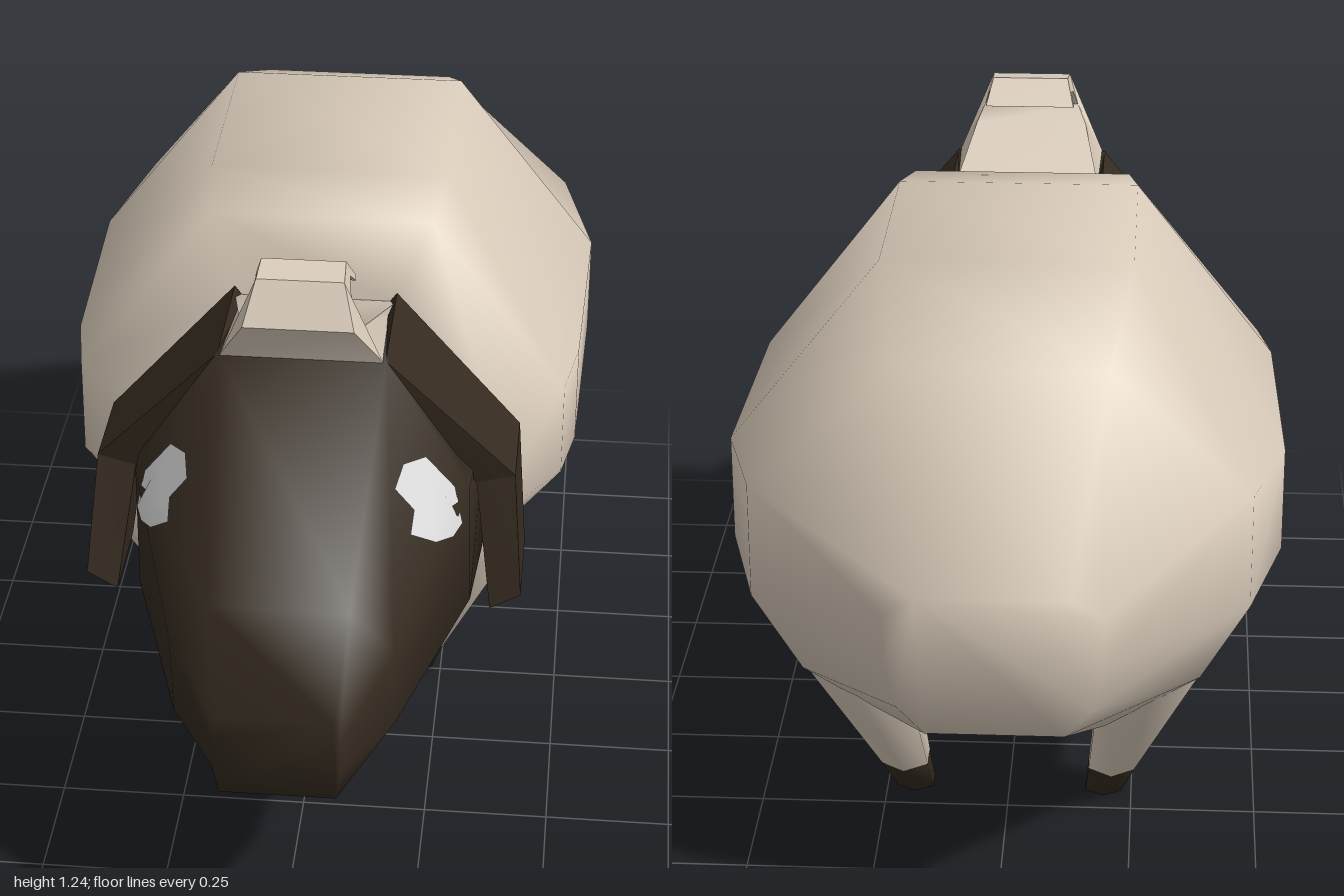
import * as THREE from 'three';
import { toCreasedNormals } from 'three/addons/utils/BufferGeometryUtils.js';

// Skin a list of closed rings (clockwise seen from the end), with fan caps
function loft(rings) {
  const n = rings[0].length, pos = rings.flat(2), idx = [];
  for (let r = 0; r < rings.length - 1; r++) {
    for (let i = 0; i < n; i++) {
      const j = (i + 1) % n;
      const a = r * n + i, b = r * n + j, c = a + n, d = b + n;
      idx.push(a, c, d, a, d, b);
    }
  }
  const last = (rings.length - 1) * n;
  for (let i = 1; i < n - 1; i++) {
    idx.push(0, i, i + 1, last, last + i + 1, last + i);
  }
  const g = new THREE.BufferGeometry();
  g.setAttribute('position', new THREE.Float32BufferAttribute(pos, 3));
  g.setIndex(idx);
  g.computeVertexNormals();
  return g;
}

// Full ring from its +x half, listed top to bottom
const mirrorRing = (half) => [...half, ...half.map(([x, y, z]) => [-x, y, z]).reverse()];

// Horizontal six-sided ring
function hexRing(cx, y, cz, rx, rz) {
  return Array.from({ length: 6 }, (_, i) => {
    const t = (i / 6) * Math.PI * 2 + Math.PI / 6;
    return [cx + (rx * Math.cos(t)) / 0.9, y, cz + rz * Math.sin(t)];
  });
}

export function createModel() {
  const model = new THREE.Group();
  const material = (name, color, side = THREE.FrontSide) => {
    const m = new THREE.MeshStandardMaterial({ color, side });
    m.name = name;
    return m;
  };
  const wool = material('cream wool', 0xd9cbba);
  const dark = material('dark brown', 0x352b20);
  const white = material('eye white', 0xdcdcdc, THREE.DoubleSide);
  const add = (name, geometry, mat) => {
    const mesh = new THREE.Mesh(geometry, mat);
    mesh.name = name;
    model.add(mesh);
    return mesh;
  };

  // Woolly body, back to front
  add('body', loft([
    [[0.14, 0.73, -1], [0.2, 0.69, -0.985], [0.2, 0.58, -0.97], [0.18, 0.48, -0.95], [0.13, 0.42, -0.94]],
    [[0.2, 1.08, -0.75], [0.47, 0.83, -0.75], [0.47, 0.6, -0.75], [0.38, 0.43, -0.72], [0.2, 0.29, -0.67]],
    [[0.24, 1.185, -0.5], [0.535, 0.81, -0.5], [0.535, 0.6, -0.5], [0.4, 0.46, -0.5], [0.19, 0.295, -0.48]],
    [[0.24, 1.18, -0.05], [0.52, 0.81, -0.02], [0.52, 0.6, -0.02], [0.4, 0.46, -0.02], [0.18, 0.3, -0.02]],
    [[0.22, 1.15, 0.1], [0.495, 0.8, 0.12], [0.495, 0.6, 0.12], [0.38, 0.46, 0.12], [0.17, 0.33, 0.12]],
    [[0.16, 1.035, 0.23], [0.35, 0.79, 0.23], [0.345, 0.53, 0.23], [0.27, 0.44, 0.23], [0.14, 0.4, 0.24]],
  ].map(mirrorRing)), wool);

  // Head, neck to muzzle
  const head = add('head', loft([
    [[0.16, 1.03, 0.23], [0.34, 0.79, 0.23], [0.345, 0.5, 0.235], [0.15, 0.4, 0.27]],
    [[0.16, 1.06, 0.5], [0.325, 0.79, 0.5], [0.33, 0.51, 0.47], [0.15, 0.38, 0.44]],
    [[0.13, 0.77, 0.92], [0.21, 0.65, 0.87], [0.21, 0.47, 0.84], [0.12, 0.28, 0.74]],
    [[0.11, 0.575, 1], [0.12, 0.52, 0.99], [0.12, 0.45, 0.98], [0.11, 0.38, 0.965]],
  ].map(mirrorRing)), dark);

  // Forelock curling backwards, narrowing towards its top
  const curl = new THREE.Shape([
    [0.2, 1.0], [0.5, 1.03], [0.505, 1.06], [0.56, 1.15], [0.515, 1.23], [0.45, 1.24],
    [0.405, 1.19], [0.42, 1.185], [0.45, 1.21], [0.485, 1.2], [0.505, 1.165], [0.485, 1.125], [0.23, 1.04],
  ].map(([z, y]) => new THREE.Vector2(z, y)));
  const lock = new THREE.ExtrudeGeometry(curl, { depth: 2, bevelEnabled: false });
  lock.translate(0, 0, -1).rotateY(-Math.PI / 2);
  const p = lock.attributes.position;
  for (let i = 0; i < p.count; i++) {
    const y = p.getY(i);
    const w = y < 1.15 ? THREE.MathUtils.mapLinear(Math.max(y, 1.05), 1.05, 1.15, 0.16, 0.105)
      : THREE.MathUtils.mapLinear(y, 1.15, 1.24, 0.105, 0.08);
    p.setX(i, p.getX(i) * w);
  }
  add('forelock', toCreasedNormals(lock, 0.9), wool);

  // Eye outline as z, y, laid on the head surface
  const eyeOutline = [
    [0.69, 0.795], [0.65, 0.825], [0.66, 0.875], [0.61, 0.9], [0.555, 0.885],
    [0.537, 0.81], [0.55, 0.74], [0.6, 0.74], [0.65, 0.755],
  ];
  const eyeCentre = [0.6, 0.815];
  const ray = new THREE.Raycaster();
  const onHead = (side, z, y) => {
    ray.set(new THREE.Vector3(side * 2, y, z), new THREE.Vector3(-side, 0, 0));
    const hit = ray.intersectObject(head)[0];
    return hit ? hit.point.addScaledVector(hit.face.normal, 0.007).toArray() : [side * 0.25, y, z];
  };

  // Ear sections from tip to root: outer x, y, inner x, y, back z, front z
  const earRows = [
    [0.43, 0.545, 0.37, 0.51, 0.3, 0.5],
    [0.41, 0.78, 0.335, 0.76, 0.235, 0.435],
    [0.16, 1.058, 0.12, 1.0, 0.228, 0.5],
  ];

  for (const side of [1, -1]) {
    const label = side > 0 ? 'left' : 'right';

    // Hanging ear
    const rings = earRows.map(([ox, oy, ix, iy, zb, zf]) => {
      const ring = [[ox, oy, zb], [ox, oy, zf], [ix, iy, zf], [ix, iy, zb]];
      return side > 0 ? ring : ring.map(([x, y, z]) => [-x, y, z]).reverse();
    });
    add(label + 'Ear', toCreasedNormals(loft(rings), 0.3), dark);

    // Eye patch: centre, half-size ring, outline ring
    const pts = [onHead(side, ...eyeCentre)], tris = [], n = eyeOutline.length;
    for (const s of [0.5, 1]) {
      for (const [z, y] of eyeOutline) {
        pts.push(onHead(side, THREE.MathUtils.lerp(eyeCentre[0], z, s), THREE.MathUtils.lerp(eyeCentre[1], y, s)));
      }
    }
    for (let i = 0; i < n; i++) {
      const a = 1 + i, b = 1 + ((i + 1) % n);
      const faces = [[0, a, b], [a, a + n, b + n], [a, b + n, b]];
      for (const f of faces) tris.push(...(side > 0 ? f : f.reverse()));
    }
    const eye = new THREE.BufferGeometry();
    eye.setAttribute('position', new THREE.Float32BufferAttribute(pts.flat(), 3));
    eye.setIndex(tris);
    eye.computeVertexNormals();
    add(label + 'Eye', eye, white);

    // Legs: sole, hoof top, thigh and a hidden end inside the body
    const legs = {
      FrontLeg: [[-0.022, 0.038], [0, 0.053], [0.15, 0.15], [0.11, 0.11]],
      HindLeg: [[-0.41, 0.042], [-0.448, 0.062], [-0.635, 0.155], [-0.64, 0.12]],
    };
    for (const [name, zs] of Object.entries(legs)) {
      const levels = [[0, 0.193, 0.038], [0.08, 0.21, 0.048], [0.46, 0.295, 0.105], [0.6, 0.29, 0.1]]
        .map(([y, x, rx], i) => hexRing(side * x, y, zs[i][0], rx, zs[i][1]));
      add(label + name, loft(levels.slice(1)), wool);
      add(label + name + 'Hoof', toCreasedNormals(loft(levels.slice(0, 2)), 1.2), dark);
    }
  }
  return model;
}
